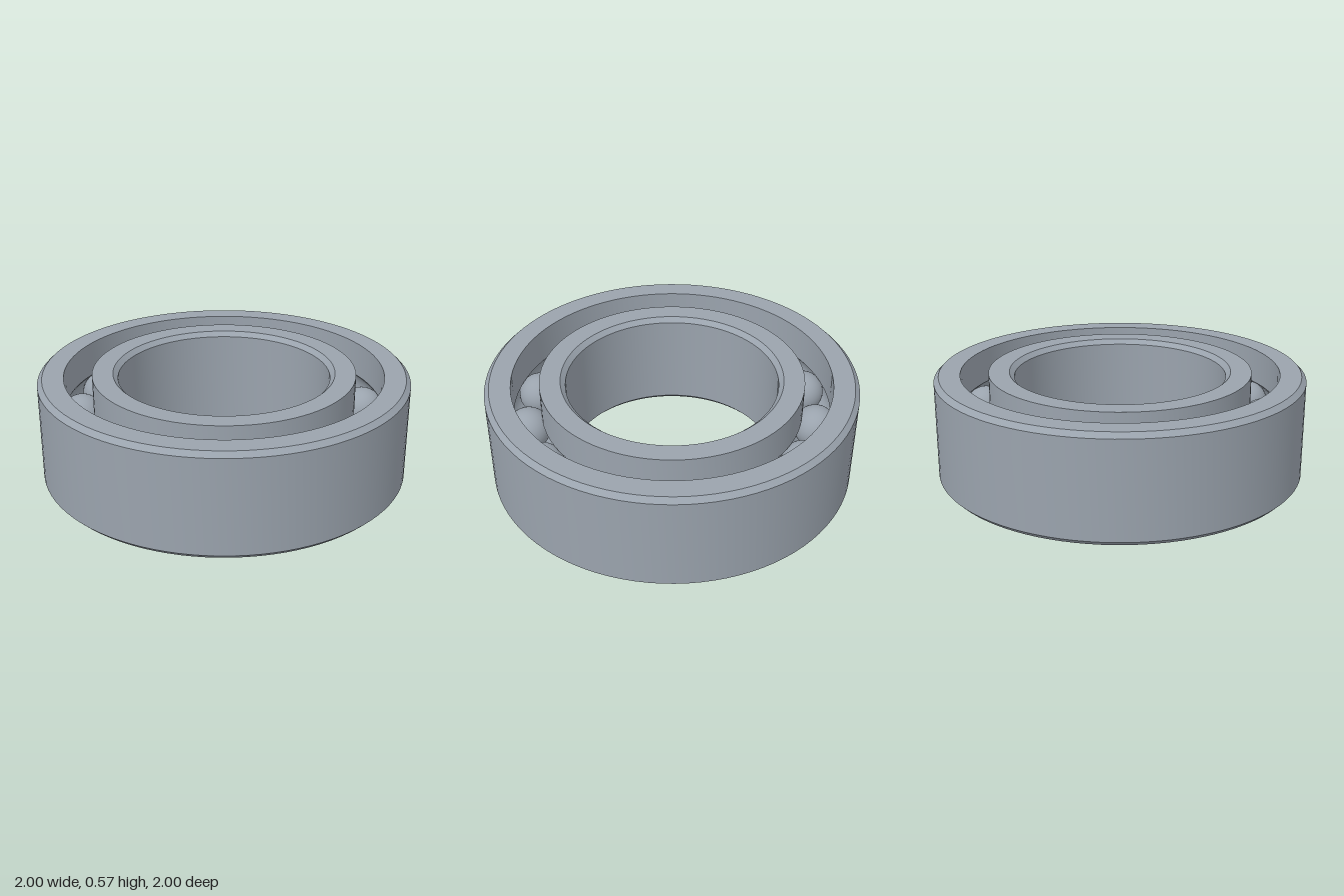
import * as THREE from 'three';
import { toCreasedNormals } from 'three/addons/utils/BufferGeometryUtils.js';

const H = 0.572;          // ring height
const C = 0.026;          // edge chamfer
const R_OUT = 1, R_BORE = 0.572;
const R_OUTER_RACE = 0.86, R_INNER_RACE = 0.71;
const PITCH = 0.785, BALL = 0.118, GROOVE = 0.12, BALLS = 15;

// Points of the ball groove, an arc about the pitch circle between two angles
function grooveArc(from, to, steps = 12) {
  return Array.from({ length: steps + 1 }, (_, i) => {
    const a = from + (to - from) * i / steps;
    return [PITCH + GROOVE * Math.cos(a), H / 2 + GROOVE * Math.sin(a)];
  });
}

// Closed profile (counter-clockwise in radius, height) turned into a sharp-edged ring
function ring(name, profile, material) {
  const pts = [...profile, profile[0]].map(([r, y]) => new THREE.Vector2(r, y));
  const mesh = new THREE.Mesh(toCreasedNormals(new THREE.LatheGeometry(pts, 96), 0.5), material);
  mesh.name = name;
  return mesh;
}

export function createModel() {
  const model = new THREE.Group();
  model.name = 'ballBearing';
  const steel = new THREE.MeshStandardMaterial({ color: 0x9aa3ad });
  steel.name = 'steel';

  // Outer ring: chamfered outside, grooved inside
  const a = Math.acos((R_OUTER_RACE - PITCH) / GROOVE);
  model.add(ring('outerRing', [
    [R_OUTER_RACE, 0], [R_OUT - C, 0], [R_OUT, C], [R_OUT, H - C], [R_OUT - C, H], [R_OUTER_RACE, H],
    ...grooveArc(a, -a),
  ], steel));

  // Inner ring: grooved outside, chamfered bore
  const b = Math.acos((R_INNER_RACE - PITCH) / GROOVE);
  model.add(ring('innerRing', [
    [R_BORE + C, 0], [R_INNER_RACE, 0],
    ...grooveArc(2 * Math.PI - b, b),
    [R_INNER_RACE, H], [R_BORE + C, H], [R_BORE, H - C], [R_BORE, C],
  ], steel));

  // Balls evenly spaced round the pitch circle
  const balls = new THREE.Group();
  balls.name = 'balls';
  const ballGeometry = new THREE.SphereGeometry(BALL, 32, 20);
  for (let i = 0; i < BALLS; i++) {
    const t = Math.PI + i * 2 * Math.PI / BALLS;
    const ball = new THREE.Mesh(ballGeometry, steel);
    ball.name = 'ball';
    ball.position.set(PITCH * Math.cos(t), H / 2, PITCH * Math.sin(t));
    balls.add(ball);
  }
  model.add(balls);
  return model;
}
